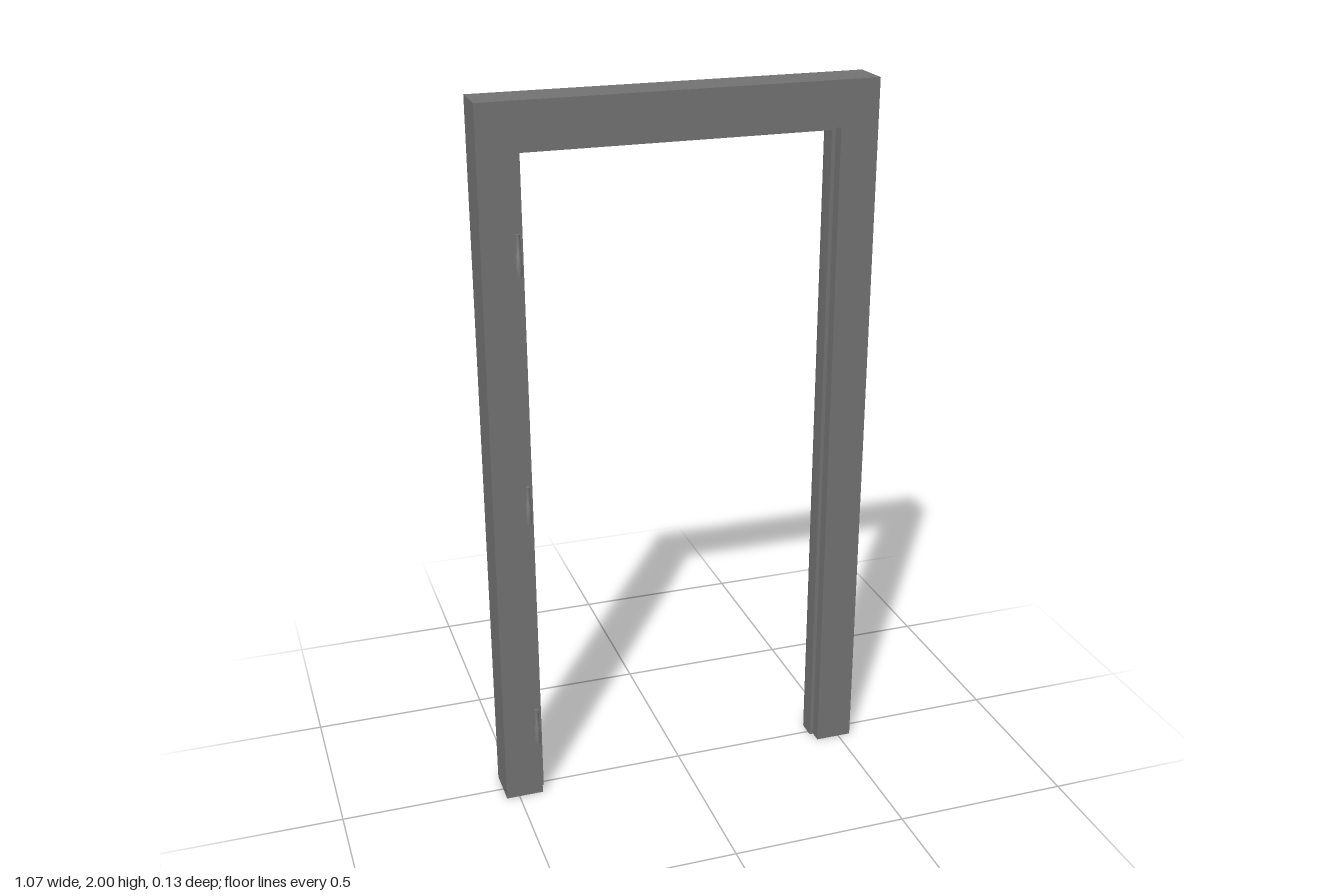
import * as THREE from 'three';
import { toCreasedNormals } from 'three/addons/utils/BufferGeometryUtils.js';

const HALF = 0.537, TOP = 2, FRONT = 0.05, BACK = -0.066;
const STEP_Z = 0.016, ROUND = 0.038;
const FACE = 0.106, LIP = 0.117;   // leg face width, and width at the rebate lip
const LINTEL_SCALE = 1.17;         // the lintel is a little deeper than the legs

// Frame cross-section: [distance in from the outer edge, z]
function frameProfile() {
  const points = [[0, BACK], [0, FRONT], [FACE, FRONT], [FACE, STEP_Z], [LIP, STEP_Z]];
  for (let i = 0; i <= 10; i++) {
    const a = (i / 10) * Math.PI / 2;
    points.push([LIP - ROUND + ROUND * Math.cos(a), BACK + ROUND - ROUND * Math.sin(a)]);
  }
  return points;
}

// Hollow, open-ended sweep up one leg, across the lintel and down the other, with mitred corners
function frameGeometry() {
  const profile = frameProfile();
  const n = profile.length;
  const stations = [[-1, false], [-1, true], [1, true], [1, false]];
  const positions = [], index = [];
  for (const [side, upper] of stations) {
    for (const [u, z] of profile) {
      positions.push(side * (HALF - u), upper ? TOP - u * LINTEL_SCALE : 0, z);
    }
  }
  for (let s = 0; s < stations.length - 1; s++) {
    for (let i = 0; i < n; i++) {
      const a = s * n + i, b = s * n + (i + 1) % n;
      index.push(a, b, b + n, a, b + n, a + n);
    }
  }
  const geometry = new THREE.BufferGeometry();
  geometry.setAttribute('position', new THREE.Float32BufferAttribute(positions, 3));
  geometry.setIndex(index);
  return toCreasedNormals(geometry, 0.5);
}

// Barrel with a thinner pin standing on it
function hingeGeometry() {
  const outline = [[0, 0], [0.0085, 0], [0.0085, 0.055], [0.006, 0.06], [0.006, 0.108], [0, 0.108]];
  const lathe = new THREE.LatheGeometry(outline.map(([r, y]) => new THREE.Vector2(r, y)), 16);
  return toCreasedNormals(lathe, 0.6);
}

export function createModel() {
  const model = new THREE.Group();
  model.name = 'doorFrame';
  const material = new THREE.MeshStandardMaterial({ color: 0x727272, side: THREE.DoubleSide });

  const frame = new THREE.Mesh(frameGeometry(), material);
  frame.name = 'frame';
  model.add(frame);

  // Three hinges on the front of one leg
  const hinge = hingeGeometry();
  ['lowerHinge', 'middleHinge', 'upperHinge'].forEach((name, i) => {
    const mesh = new THREE.Mesh(hinge, material);
    mesh.name = name;
    mesh.position.set(-0.442, 0.176 + i * 0.692, 0.057);
    model.add(mesh);
  });
  return model;
}
